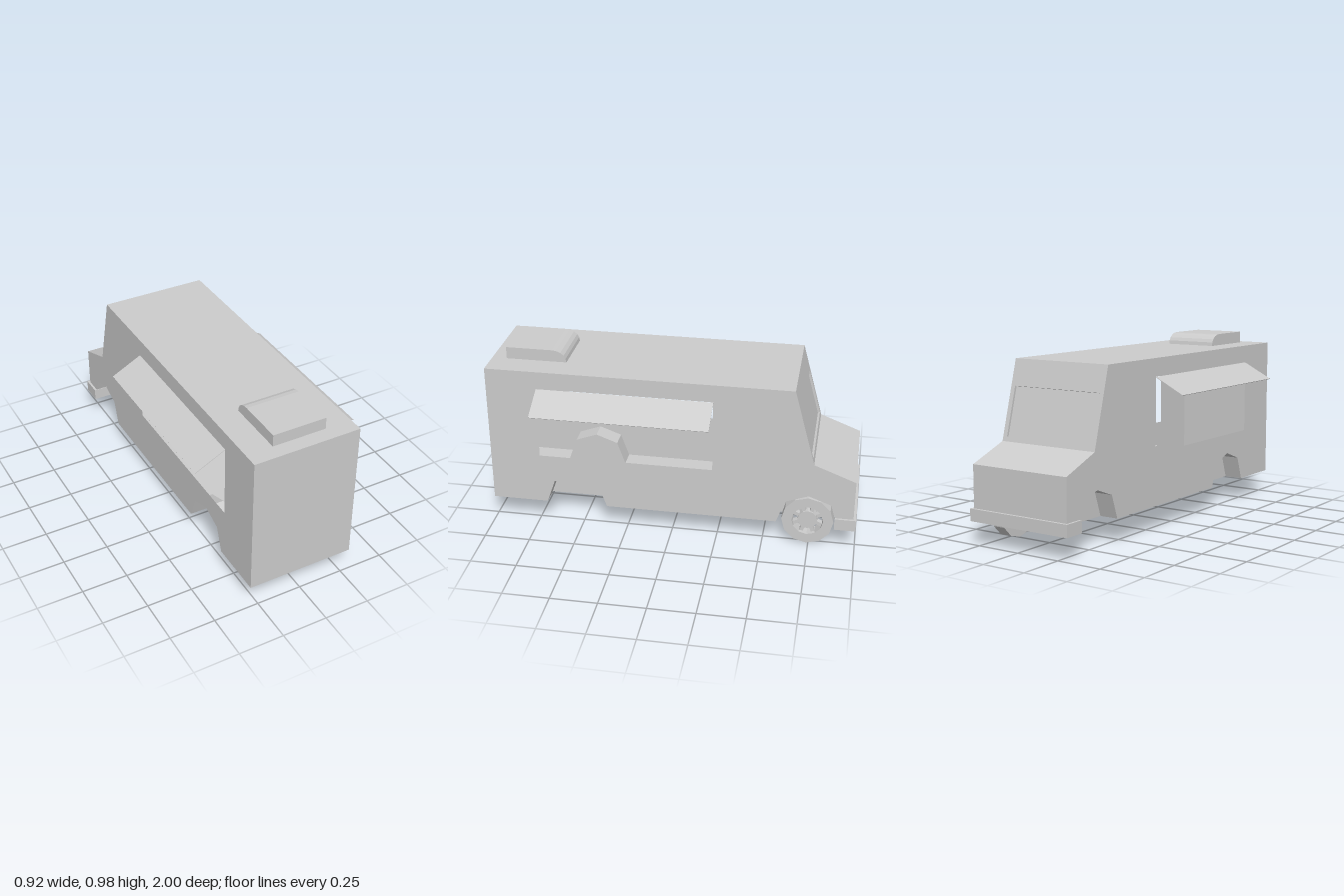
import * as THREE from 'three';

const W = 0.295;            // half width of the body
const WELL = 0.19;          // inner face of the wheel wells
const FLOOR = 0.13, ROOF = 0.915;
const AXLE_Y = 0.14;
const REAR_Z = 0.527, FRONT_Z = -0.74;
const mat = new THREE.MeshStandardMaterial({ color: 0xcccccc, flatShading: true, side: THREE.DoubleSide });

const v2 = (pts) => pts.map(([a, b]) => new THREE.Vector2(a, b));
const shapeOf = (pts) => new THREE.Shape(v2(pts));
const rect = (x0, x1, y0, y1) => [[x0, y0], [x1, y0], [x1, y1], [x0, y1]];

function add(parent, name, geometry) {
  const mesh = new THREE.Mesh(geometry, mat);
  mesh.name = name;
  parent.add(mesh);
  return mesh;
}

// Sheet swept across x along a line of [z, y] points
function strip(pts, x0, x1) {
  const p = [];
  for (let i = 0; i + 1 < pts.length; i++) {
    const [z0, y0] = pts[i], [z1, y1] = pts[i + 1];
    p.push(x0, y0, z0, x1, y0, z0, x1, y1, z1, x0, y0, z0, x1, y1, z1, x0, y1, z1);
  }
  const g = new THREE.BufferGeometry();
  g.setAttribute('position', new THREE.Float32BufferAttribute(p, 3));
  g.computeVertexNormals();
  return g;
}

// Flat [z, y] shape standing at a given x
const upright = (shape, x) => new THREE.ShapeGeometry(shape).rotateY(-Math.PI / 2).translate(x, 0, 0);

// Half octagon wheel arch, from rear foot to front foot
const arch = (z) => [[z + 0.168, FLOOR], [z + 0.122, 0.26], [z, 0.305], [z - 0.122, 0.26], [z - 0.168, FLOOR]];

function buildBody() {
  const body = new THREE.Group();
  body.name = 'body';

  // Side walls with arches and serving windows
  const side = shapeOf([[1, FLOOR], [1, ROOF], [-0.645, ROOF], [-0.76, 0.497], [-0.985, 0.41],
    [-0.985, FLOOR], ...arch(FRONT_Z).reverse(), ...arch(REAR_Z).reverse()]);
  side.holes.push(new THREE.Path(v2(rect(-0.223, 0.725, 0.415, 0.818))));
  for (const s of [-1, 1]) {
    add(body, s > 0 ? 'leftWall' : 'rightWall', upright(side, s * W));
    // Wheel wells
    for (const [label, z] of [['cab', FRONT_Z], ['tail', REAR_Z]]) {
      add(body, label + 'WheelWell', strip(arch(z), s * WELL, s * W));
      add(body, label + 'WheelWellCap', upright(shapeOf(arch(z)), s * WELL));
    }
  }

  // Tail wall and roof, then bonnet and nose
  add(body, 'tailAndRoof', strip([[1, FLOOR], [1, ROOF], [-0.645, ROOF]], -W, W));
  add(body, 'bonnetAndNose', strip([[-0.76, 0.497], [-0.985, 0.41], [-0.985, FLOOR]], -W, W));

  // Floor: centre panel plus side panels between the wells
  add(body, 'floor', strip([[-0.985, FLOOR], [1, FLOOR]], -WELL, WELL));
  const spans = [[-0.985, FRONT_Z - 0.168], [FRONT_Z + 0.168, REAR_Z - 0.168], [REAR_Z + 0.168, 1]];
  for (const s of [-1, 1])
    for (const [a, b] of spans) add(body, 'floorEdge', strip([[a, FLOOR], [b, FLOOR]], s * WELL, s * W));
  return body;
}

// Sloping cab front with a recessed windscreen
function buildWindscreen() {
  const group = new THREE.Group();
  group.name = 'windscreen';
  const up = new THREE.Vector3(0, ROOF - 0.497, 0.115);
  const len = up.length(), depth = 0.012;
  up.normalize();
  const out = new THREE.Vector3(0, up.z, -up.y);
  const opening = rect(-0.27, 0.27, len * 0.06, len * 0.67);
  const frame = shapeOf(rect(-W, W, 0, len));
  frame.holes.push(new THREE.Path(v2(opening)));
  add(group, 'windscreenFrame', new THREE.ExtrudeGeometry(frame, { depth, bevelEnabled: false }).translate(0, 0, -depth));
  add(group, 'windscreenPane', new THREE.ShapeGeometry(shapeOf(opening)).translate(0, 0, -depth));
  const m = new THREE.Matrix4().makeBasis(new THREE.Vector3(-1, 0, 0), up, out).setPosition(0, 0.497, -0.76);
  group.applyMatrix4(m);
  return group;
}

// Roof vent with a rounded nose, and its frame on the ceiling
function buildVent() {
  const vent = new THREE.Group();
  vent.name = 'roofVent';
  const hw = 0.148;
  const hood = shapeOf([[0.92, ROOF], [0.92, 0.98], [0.67, 0.98], [0.645, 0.977], [0.622, 0.968],
    [0.604, 0.953], [0.594, 0.935], [0.59, ROOF]]);
  add(vent, 'ventHood', new THREE.ExtrudeGeometry(hood, { depth: 2 * hw, bevelEnabled: false })
    .rotateY(-Math.PI / 2).translate(hw, 0, 0));
  const ring = shapeOf(rect(-hw, hw, 0.59, 0.92));
  ring.holes.push(new THREE.Path(v2(rect(-hw + 0.015, hw - 0.015, 0.605, 0.905))));
  add(vent, 'ceilingFrame', new THREE.ExtrudeGeometry(ring, { depth: 0.008, bevelEnabled: false })
    .rotateX(Math.PI / 2).translate(0, ROOF - 0.001, 0));
  return vent;
}

// Twelve-sided tyre with an open spoked rim
function buildWheel() {
  const wheel = new THREE.Group();
  wheel.name = 'wheel';
  const h = 0.035;
  const ring = (r0, r1, half) => new THREE.LatheGeometry(
    v2([[r0, -half], [r1, -half], [r1, half], [r0, half], [r0, -half]]), 12).rotateZ(Math.PI / 2);
  add(wheel, 'tyre', ring(0.085, 0.14, h));
  add(wheel, 'hub', new THREE.CylinderGeometry(0.053, 0.053, 0.05, 12).rotateZ(Math.PI / 2));
  for (let i = 0; i < 8; i++)
    add(wheel, 'spoke', new THREE.BoxGeometry(0.03, 0.045, 0.02).translate(0, 0.066, 0).rotateX((i + 0.5) * Math.PI / 4));
  wheel.position.set(0.24, AXLE_Y, FRONT_Z);
  return wheel;
}

export function createModel() {
  const model = new THREE.Group();
  model.name = 'servingTruck';
  model.add(buildBody(), buildWindscreen(), buildVent(), buildWheel());

  // Awnings over the serving windows
  for (const s of [-1, 1]) {
    const awning = add(model, s > 0 ? 'leftAwning' : 'rightAwning', new THREE.BoxGeometry(Math.hypot(0.165, 0.085), 0.003, 0.947));
    awning.position.set(s * (W + 0.0825), 0.773, 0.25);
    awning.rotation.z = -s * Math.atan2(0.085, 0.165);
  }

  // Bumper across the nose
  add(model, 'bumper', new THREE.BoxGeometry(0.616, 0.065, 0.115)).position.set(0, 0.152, -0.9425);
  return model;
}
